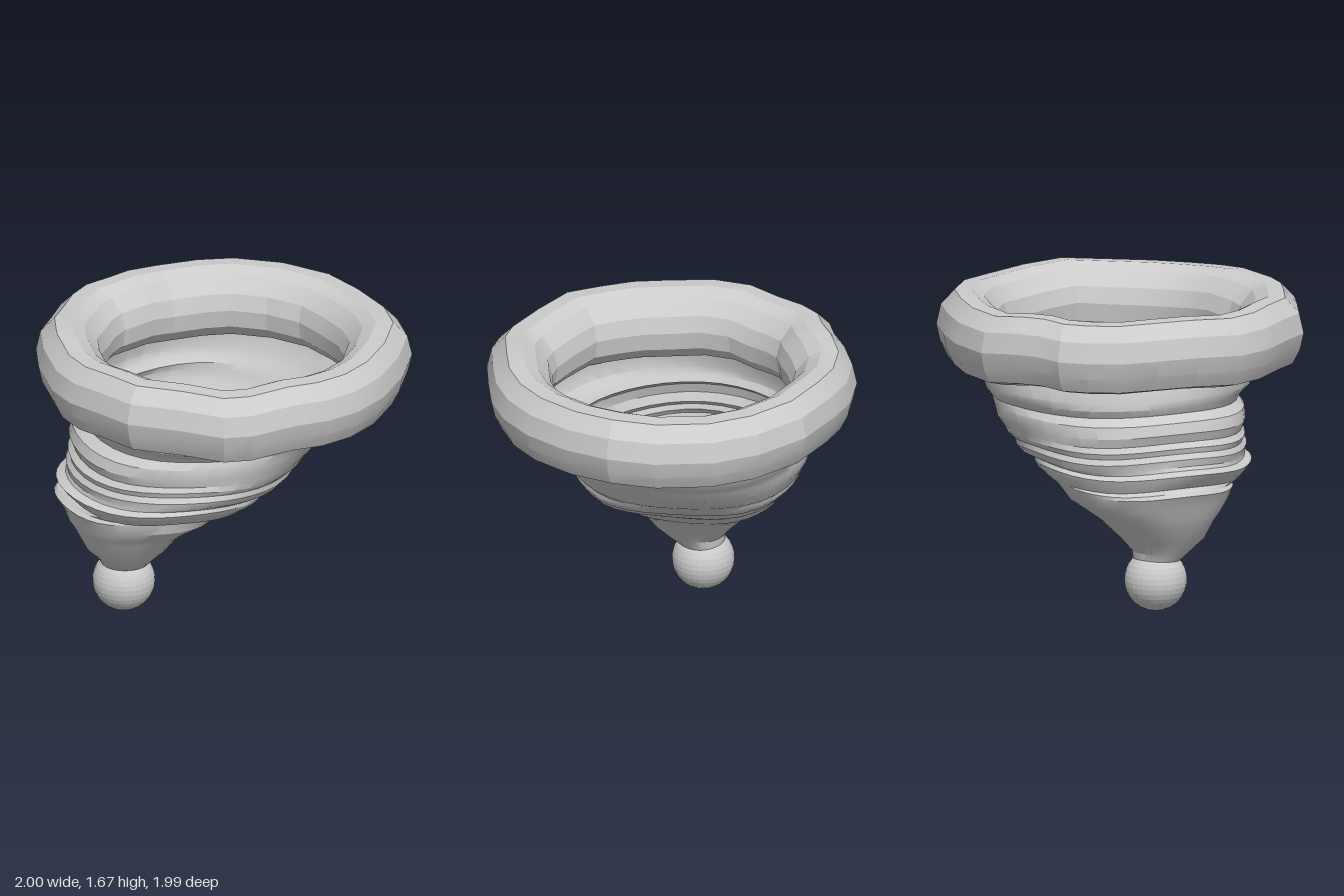
import * as THREE from 'three';
import { toCreasedNormals } from 'three/addons/utils/BufferGeometryUtils.js';

// Skin a list of closed rings (outward when rings climb an outer wall).
function loft(rings, closed) {
  const n = rings[0].length, index = [];
  const last = closed ? rings.length : rings.length - 1;
  for (let i = 0; i < last; i++) {
    for (let j = 0; j < n; j++) {
      const a = i * n + j, b = i * n + (j + 1) % n;
      const k = (i + 1) % rings.length;
      const d = k * n + j, c = k * n + (j + 1) % n;
      index.push(a, d, b, b, d, c);
    }
  }
  const g = new THREE.BufferGeometry();
  g.setAttribute('position', new THREE.Float32BufferAttribute(rings.flat(2), 3));
  g.setIndex(index);
  g.computeVertexNormals();
  return g;
}

// Slouched body: y, left edge, right edge, back edge, front edge.
const BODY = [
  [0.27, -0.62, -0.37, -0.30, -0.06],
  [0.33, -0.66, -0.35, -0.31, 0.02],
  [0.40, -0.73, -0.28, -0.37, 0.09],
  [0.50, -0.78, -0.19, -0.47, 0.16],
  [0.55, -0.81, -0.11, -0.53, 0.21],
  [0.61, -0.83, 0.00, -0.60, 0.28],
  [0.68, -0.87, 0.07, -0.64, 0.30],
  [0.70, -0.85, 0.09, -0.65, 0.31],
  [0.715, -0.82, 0.16, -0.65, 0.42],
  [0.76, -0.86, 0.25, -0.68, 0.47],
  [0.79, -0.88, 0.28, -0.69, 0.49],
  [0.81, -0.83, 0.30, -0.67, 0.48],
  [0.83, -0.82, 0.36, -0.70, 0.51],
  [0.87, -0.83, 0.41, -0.72, 0.53],
  [0.90, -0.81, 0.43, -0.71, 0.52],
  [0.93, -0.82, 0.48, -0.73, 0.54],
  [0.96, -0.79, 0.50, -0.73, 0.54],
  [1.01, -0.81, 0.56, -0.75, 0.56],
  [1.07, -0.79, 0.59, -0.75, 0.57],
  [1.11, -0.73, 0.63, -0.73, 0.57],
  [1.15, -0.75, 0.66, -0.76, 0.60],
  [1.19, -0.76, 0.69, -0.77, 0.68],
  [1.25, -0.75, 0.74, -0.76, 0.73],
  [1.32, -0.74, 0.75, -0.75, 0.74],
];

function makeBody() {
  const N = 40;
  const rings = BODY.map(([y, l, r, b, f], i) => {
    // Folds ripple gently, fading out towards both ends
    const amp = 0.012 * Math.sin(Math.PI * i / (BODY.length - 1));
    return Array.from({ length: N }, (_, j) => {
      const a = j / N * Math.PI * 2;
      const s = 1 + amp * Math.sin(5 * a + i * 0.4);
      return [
        (l + r) / 2 + (r - l) / 2 * s * Math.cos(a),
        y + amp * Math.sin(4 * a + 0.6),
        (b + f) / 2 + (f - b) / 2 * s * Math.sin(a),
      ];
    });
  });
  return toCreasedNormals(loft(rings, false), 0.5);
}

// Uneven outline of the rolled brim, as x and z.
const OUTLINE = [
  [1, 0.12], [0.95, 0.38], [0.8, 0.6], [0.6, 0.8], [0.4, 0.92], [0.2, 0.98], [0, 0.99],
  [-0.25, 0.99], [-0.4, 0.94], [-0.6, 0.78], [-0.82, 0.6], [-0.9, 0.4], [-0.98, 0.2],
  [-1, 0], [-0.96, -0.28], [-0.88, -0.5], [-0.75, -0.66], [-0.63, -0.8], [-0.5, -0.89],
  [-0.35, -0.91], [-0.2, -0.96], [0, -1], [0.25, -0.96], [0.45, -0.87], [0.7, -0.7],
  [0.89, -0.45], [0.97, -0.2],
];

// Brim section as scale and height: up the outside, over and down the inside.
const SECTION = [
  [0.82, 1.26], [0.94, 1.29], [0.98, 1.37], [1.0, 1.46], [0.975, 1.57], [0.9, 1.65],
  [0.81, 1.655], [0.74, 1.62], [0.67, 1.54], [0.645, 1.45], [0.66, 1.35], [0.72, 1.28],
];

function makeBrim() {
  const rings = SECTION.map(([s, y]) => OUTLINE.map(([x, z], j) =>
    [x * s, y + 0.009 * Math.sin(j * 1.4) + 0.004 * Math.sin(j * 2.3), z * s]));
  return toCreasedNormals(loft(rings, true), 0.3);
}

export function createModel() {
  const group = new THREE.Group();
  const add = (name, geometry, options = {}) => {
    const mesh = new THREE.Mesh(geometry,
      new THREE.MeshStandardMaterial({ color: 0xcccccc, ...options }));
    mesh.name = name;
    group.add(mesh);
    return mesh;
  };

  add('body', makeBody(), { side: THREE.DoubleSide });
  add('brim', makeBrim());

  // Bobble at the tip, showing through the small opening of the body
  add('bobble', new THREE.SphereGeometry(0.17, 32, 18), { flatShading: true })
    .position.set(-0.5, 0.17, -0.185);

  return group;
}
